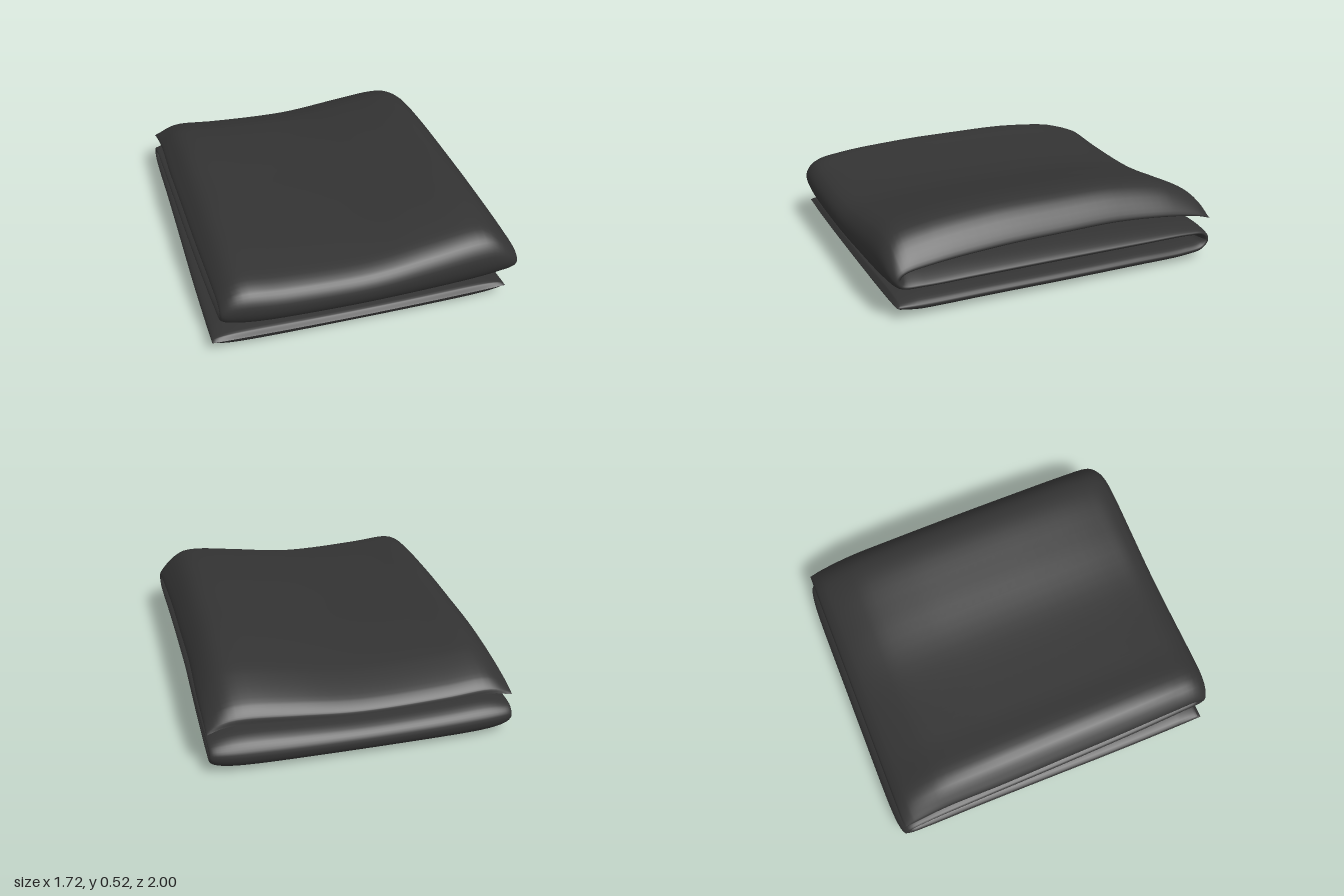
import * as THREE from 'three';

// Fold path from the bottom front hem to the top back hem: [sideShift, y, z, halfThickness]
const PATH = [
  [-0.02, 0.075, 0.94, 0], [-0.02, 0.073, 0.92, 0.03], [-0.02, 0.065, 0.8, 0.05],
  [-0.02, 0.062, 0.4, 0.05], [-0.015, 0.06, 0, 0.05], [-0.01, 0.06, -0.5, 0.05],
  [-0.01, 0.06, -0.82, 0.047], [-0.01, 0.075, -0.93, 0.042], [-0.01, 0.11, -0.96, 0.038],
  [-0.01, 0.147, -0.93, 0.036], [-0.005, 0.165, -0.82, 0.037], [0, 0.172, -0.5, 0.045],
  [0.005, 0.18, 0, 0.05], [0.015, 0.19, 0.5, 0.05], [0.025, 0.2, 0.8, 0.05],
  [0.028, 0.218, 0.92, 0.054], [0.028, 0.27, 0.945, 0.055], [0.028, 0.315, 0.91, 0.06],
  [0.022, 0.343, 0.75, 0.064], [0.01, 0.362, 0.35, 0.068], [0.005, 0.364, 0, 0.068],
  [0, 0.36, -0.35, 0.068], [0.005, 0.335, -0.68, 0.06], [0, 0.29, -0.88, 0.04],
  [-0.002, 0.265, -0.94, 0.02], [-0.002, 0.258, -0.955, 0],
];
// Height of the upper layers across the width: sag in the middle, droop at the sides
const HEIGHT = new THREE.SplineCurve([
  [-0.9, 0.7], [-0.82, 0.86], [-0.7, 1.1], [-0.45, 1.03], [0, 1], [0.34, 1.17],
  [0.62, 1.3], [0.75, 1.2], [0.87, 0.75],
].map(([x, f]) => new THREE.Vector2(x, f)));
const HEIGHT_TABLE = HEIGHT.getPoints(160);

function heightFactor(x) {
  const k = HEIGHT_TABLE.findIndex((p) => p.x >= x);
  if (k <= 0) return HEIGHT_TABLE[k === 0 ? 0 : 160].y;
  const a = HEIGHT_TABLE[k - 1], b = HEIGHT_TABLE[k];
  return THREE.MathUtils.lerp(a.y, b.y, (x - a.x) / (b.x - a.x));
}

function foldedSheet() {
  const halfWidth = 0.838, across = 40, perSpan = 6;
  const spans = PATH.length - 1, rows = spans * perSpan, ring = across * 2;
  const curve = new THREE.CatmullRomCurve3(PATH.map(([x, y, z]) => new THREE.Vector3(x, y, z)));
  const positions = [], index = [];
  for (let i = 0; i <= rows; i++) {
    const t = i / rows, c = curve.getPoint(t), d = curve.getTangent(t);
    const k = Math.min(Math.floor(i / perSpan), spans - 1);
    const h = THREE.MathUtils.lerp(PATH[k][3], PATH[k + 1][3], i / perSpan - k);
    const len = Math.hypot(d.y, d.z);
    for (let j = 0; j < ring; j++) {
      // Upper face left to right, then lower face back again, thinning at the side edges
      const a = (j / across) * Math.PI, u = -Math.cos(a);
      const n = h * Math.sqrt(Math.max(0, 1 - Math.abs(u) ** 8)) * (j <= across ? 1 : -1);
      const x = c.x + u * halfWidth;
      let y = c.y - (d.z / len) * n;
      const z = c.z + (d.y / len) * n;
      // Soft sag of the pile
      if (y > 0.15) y = 0.15 + (y - 0.15) * heightFactor(x);
      y += 0.03 * THREE.MathUtils.clamp(y / 0.12, 0, 1) * x * x;
      positions.push(x, y, z);
      if (i < rows) {
        const p = i * ring + j, q = i * ring + ((j + 1) % ring);
        index.push(p, q, p + ring, q, q + ring, p + ring);
      }
    }
  }
  const geometry = new THREE.BufferGeometry();
  geometry.setAttribute('position', new THREE.Float32BufferAttribute(positions, 3));
  geometry.setIndex(index);
  geometry.computeBoundingBox();
  const box = geometry.boundingBox, mid = box.getCenter(new THREE.Vector3());
  geometry.translate(-mid.x, -box.min.y, -mid.z);
  geometry.computeVertexNormals();
  return geometry;
}

export function createModel() {
  const group = new THREE.Group();
  group.name = 'foldedBlanket';
  const cloth = new THREE.MeshStandardMaterial({ color: 0x333333 });
  cloth.side = THREE.DoubleSide;
  const blanket = new THREE.Mesh(foldedSheet(), cloth);
  blanket.name = 'blanketCloth';
  group.add(blanket);
  return group;
}
